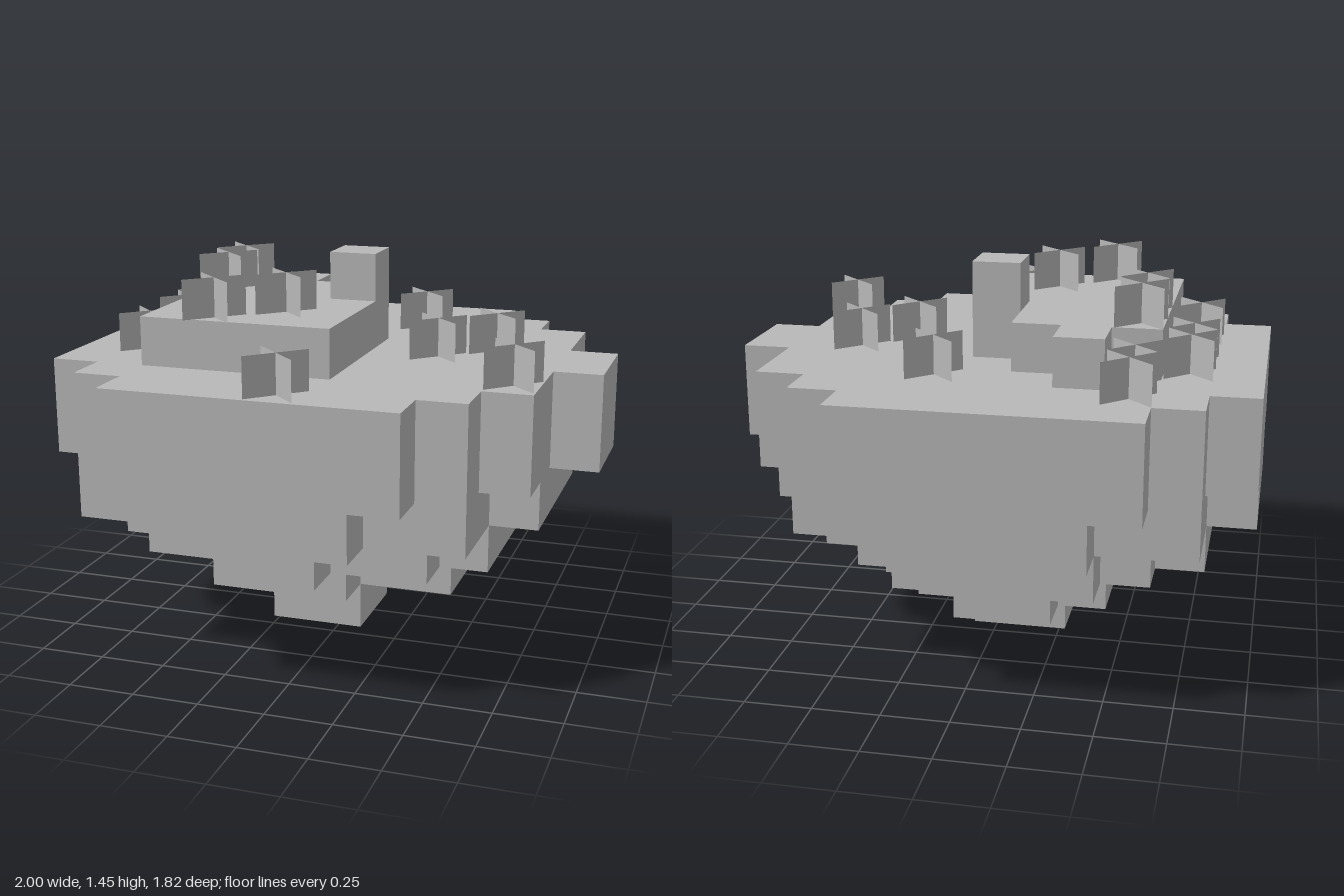
import * as THREE from 'three';

const U = 2 / 11; // edge of one block

// Slab made of rows of blocks: rows are [first, last] block in x, running from back to front
function slab(name, y, height, firstRow, rows, material) {
  const X = i => -1 + i * U, Z = k => (k - 5) * U;
  const left = [], right = [];
  rows.forEach(([a, b], n) => {
    const z0 = Z(firstRow + n), z1 = Z(firstRow + n + 1);
    right.push(new THREE.Vector2(X(b + 1), z0), new THREE.Vector2(X(b + 1), z1));
    left.push(new THREE.Vector2(X(a), z0), new THREE.Vector2(X(a), z1));
  });
  const outline = [...right, ...left.reverse()]
    .filter((p, i, all) => i === 0 || !p.equals(all[i - 1]));
  const geo = new THREE.ExtrudeGeometry(new THREE.Shape(outline), { depth: height * U, bevelEnabled: false });
  geo.rotateX(Math.PI / 2);
  const mesh = new THREE.Mesh(geo, material);
  mesh.name = name;
  mesh.position.y = (y + height) * U;
  return mesh;
}

const repeat = (row, n) => Array.from({ length: n }, () => row);

export function createModel() {
  const model = new THREE.Group();
  model.name = 'floatingIsland';
  const stone = new THREE.MeshStandardMaterial({ color: 0xb8b8b8, side: THREE.DoubleSide });
  stone.name = 'stone grey';

  // Island, from the lowest tip to the broad ground
  model.add(
    slab('islandTip', 0, 1, 4, repeat([4, 5], 2), stone),
    slab('lowerRock', 1, 1, 2, [[4, 5], [3, 6], [3, 7], [3, 7], [3, 5]], stone),
    slab('middleRock', 2, 1, 1, [[3, 6], [2, 7], ...repeat([1, 8], 4), [2, 7], [4, 5]], stone),
    slab('upperRock', 3, 1, 0,
      [[3, 6], [1, 8], [1, 8], ...repeat([0, 9], 4), [1, 8], [1, 8], [3, 6]], stone),
    slab('ground', 4, 2, 0,
      [[2, 7], [1, 8], [0, 9], [0, 9], [0, 10], [0, 10], [0, 9], [0, 9], [1, 8], [2, 7]], stone),
    slab('plateau', 6, 1, 2, [[3, 3], [2, 4], ...repeat([2, 5], 4)], stone),
    slab('post', 7, 1, 4, [[5, 5]], stone),
  );

  // Plants: two crossed upright plates on the block diagonals
  const height = 0.147;
  const plate = new THREE.PlaneGeometry(0.175 * Math.SQRT2, height);
  plate.translate(0, height / 2, 0);
  const addPlant = (x, z, level) => {
    const plant = new THREE.Group();
    plant.name = 'plant';
    for (const side of [-1, 1]) {
      const leaf = new THREE.Mesh(plate, stone);
      leaf.name = 'plantLeaf';
      leaf.rotation.y = side * Math.PI / 4;
      plant.add(leaf);
    }
    plant.position.set(x, level * U, z);
    model.add(plant);
  };

  const groundPlants = [
    [-0.01, 0.81], [0.725, 0.435], [0.36, 0.07], [0.55, -0.09], [0.175, -0.455],
    [-0.73, 0.27], [-0.73, -0.09], [-0.73, -0.27], [-0.55, -0.635], [-0.55, -0.46],
  ];
  const plateauPlants = [[-0.16, 0.3], [-0.37, 0.48], [-0.55, -0.28], [-0.55, -0.09]];
  groundPlants.forEach(([x, z]) => addPlant(x, z, 6));
  plateauPlants.forEach(([x, z]) => addPlant(x, z, 7));

  return model;
}
